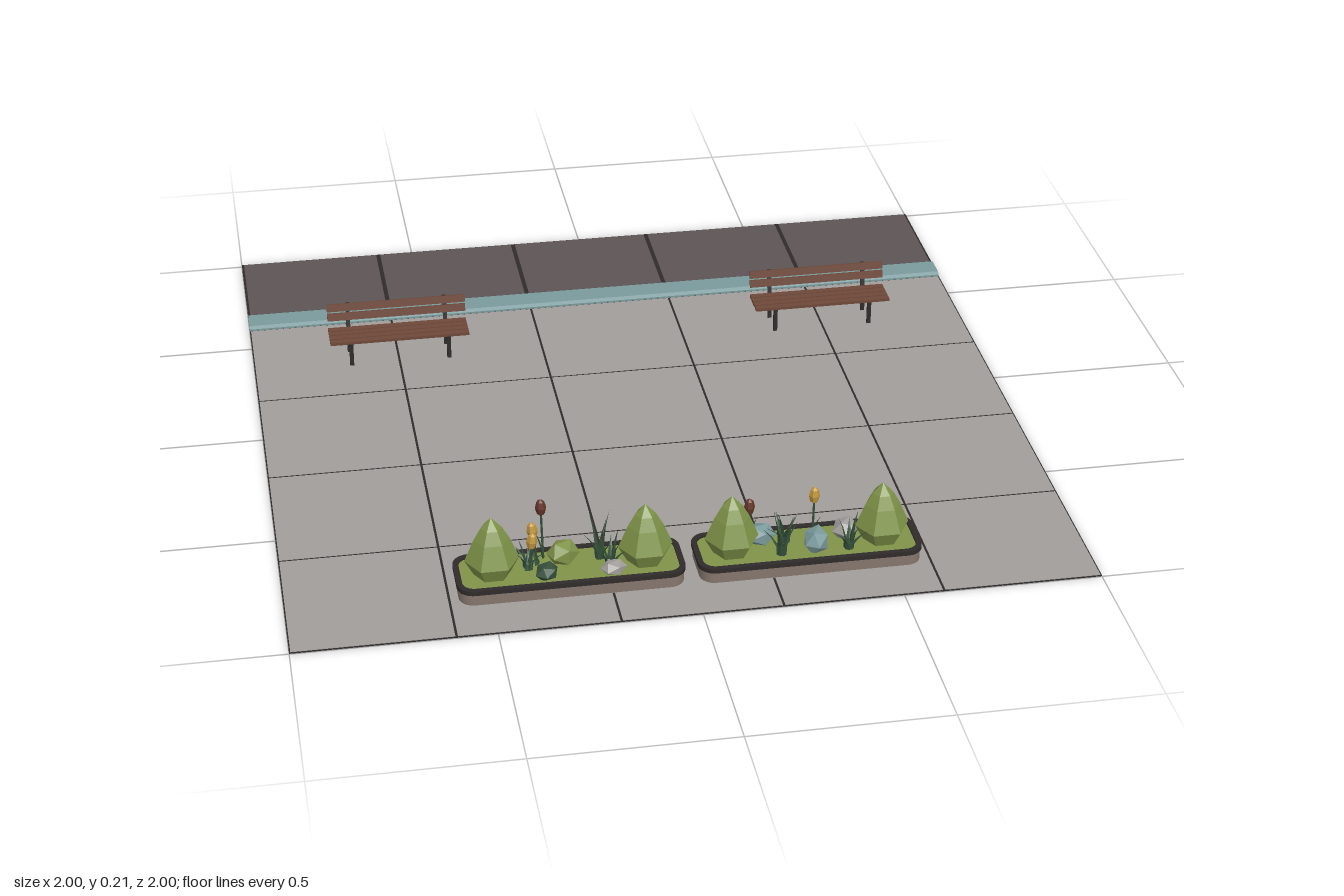
import * as THREE from 'three';

const mat = (name, color, flatShading = false) => {
  const m = new THREE.MeshStandardMaterial({ color, flatShading });
  m.name = name;
  return m;
};

export function createModel() {
  const M = {
    paving: mat('paving grey', 0xa09d9b, true),
    road: mat('road brown grey', 0x5d5555, true),
    kerb: mat('kerb teal', 0x7a999b, true),
    wood: mat('bench wood', 0x6e4839, true),
    dark: mat('dark trim', 0x2f2b2a, true),
    wall: mat('planter wall', 0x85766d, true),
    green: mat('shrub green', 0x7f9348, true),
    leaf: mat('dark leaf', 0x35503a, true),
    red: mat('flower red', 0x653528, true),
    yellow: mat('flower yellow', 0xc0963c, true),
  };
  const root = new THREE.Group();
  root.name = 'streetPlaza';

  const add = (parent, name, geo, material, x = 0, y = 0, z = 0) => {
    const mesh = new THREE.Mesh(geo, material);
    mesh.name = name;
    mesh.position.set(x, y, z);
    parent.add(mesh);
    return mesh;
  };
  const group = (parent, name, x = 0, y = 0, z = 0) => {
    const g = new THREE.Group();
    g.name = name;
    g.position.set(x, y, z);
    parent.add(g);
    return g;
  };
  const box = (w, h, d) => new THREE.BoxGeometry(w, h, d);

  // Ground: paving slabs, road slabs and the dark joints between them
  const ground = group(root, 'ground');
  const gap = 0.006;
  for (let i = 0; i < 5; i++) {
    const x = -0.8 + i * 0.4;
    for (let j = 0; j < 4; j++) {
      add(ground, 'pavingSlab', box(0.4 - gap, 0.004, 0.4 - gap), M.paving, x, 0.002, -0.4 + j * 0.4);
    }
    add(ground, 'roadSlab', box(0.388, 0.009, 0.31), M.road, x, 0.0045, -0.84);
  }
  add(ground, 'pavingJoints', box(2, 0.002, 1.6), M.dark, 0, 0.0017, 0.2);
  add(ground, 'roadJoints', box(2, 0.006, 0.32), M.dark, 0, 0.0036, -0.84);

  // Kerb: bevelled bar along the road
  const kerbShape = new THREE.Shape([
    [-0.04, 0], [0.04, 0], [0.04, 0.008], [0.03, 0.014], [-0.034, 0.014], [-0.04, 0.01],
  ].map(([x, y]) => new THREE.Vector2(x, y)));
  const kerbGeo = new THREE.ExtrudeGeometry(kerbShape, { depth: 2, bevelEnabled: false });
  kerbGeo.translate(0, 0, -1).rotateY(-Math.PI / 2);
  kerbGeo.computeVertexNormals();
  add(ground, 'kerb', kerbGeo, M.kerb, 0, 0, -0.64);

  // Benches
  for (const s of [-1, 1]) {
    const bench = group(root, 'bench', s * 0.597, 0, -0.4);
    for (let i = 0; i < 4; i++) {
      add(bench, 'seatSlat', box(0.384, 0.008, 0.019), M.wood, 0, 0.076, 0.039 - i * 0.0235);
    }
    for (const [y, z] of [[0.112, -0.043], [0.138, -0.048]]) {
      add(bench, 'backSlat', box(0.384, 0.021, 0.007), M.wood, 0, y, z).rotation.x = -0.2;
    }
    for (const x of [-0.135, 0.135]) {
      add(bench, 'frontLeg', box(0.011, 0.072, 0.007), M.dark, x, 0.036, 0.042);
      add(bench, 'backLeg', box(0.011, 0.072, 0.007), M.dark, x, 0.036, -0.036);
      add(bench, 'seatRail', box(0.011, 0.006, 0.088), M.dark, x, 0.069, 0.003);
      add(bench, 'backPost', box(0.011, 0.078, 0.006), M.dark, x, 0.109, -0.049).rotation.x = -0.2;
    }
  }

  // Rounded planter outline
  const roundedRect = (w, d, r, Type = THREE.Shape) => {
    const p = new Type();
    const a = w / 2, b = d / 2;
    p.moveTo(a, -b + r);
    p.absarc(a - r, b - r, r, 0, Math.PI / 2);
    p.absarc(-a + r, b - r, r, Math.PI / 2, Math.PI);
    p.absarc(-a + r, -b + r, r, Math.PI, Math.PI * 1.5);
    p.absarc(a - r, -b + r, r, Math.PI * 1.5, Math.PI * 2);
    return p;
  };
  const slab = (shape, h) =>
    new THREE.ExtrudeGeometry(shape, { depth: h, bevelEnabled: false, curveSegments: 4 }).rotateX(-Math.PI / 2);

  // Plants and stones
  const shrubGeo = new THREE.LatheGeometry(
    [[0, 0], [0.045, 0], [0.068, 0.042], [0.044, 0.1], [0.026, 0.132], [0, 0.16]]
      .map(([x, y]) => new THREE.Vector2(x, y)), 6, Math.PI / 2);

  const blade = (h, lean) => {
    const g = new THREE.ConeGeometry(0.011, h, 4, 3).translate(0, h / 2, 0).scale(1, 1, 0.35);
    const p = g.attributes.position;
    for (let i = 0; i < p.count; i++) {
      const t = p.getY(i) / h;
      p.setZ(i, p.getZ(i) + lean * t * t);
    }
    g.computeVertexNormals();
    return g;
  };
  const leafCluster = (parent, x, z, h) => {
    const g = group(parent, 'leafCluster', x, 0.04, z);
    for (let i = 0; i < 6; i++) {
      const a = i * 2.4 + x * 20;
      const k = 1 - 0.1 * i;
      add(g, 'leafBlade', blade(h * k, 0.018 + 0.005 * i), M.leaf, Math.sin(a) * 0.007, 0, Math.cos(a) * 0.007)
        .rotation.y = a;
    }
  };
  const flower = (parent, x, z, h, material, tilt = 0) => {
    const g = group(parent, 'flower', x, 0.04, z);
    g.rotation.z = tilt;
    add(g, 'flowerStem', new THREE.CylinderGeometry(0.003, 0.003, h, 5), M.leaf, 0, h / 2, 0);
    add(g, 'flowerHead', new THREE.SphereGeometry(0.014, 6, 4).scale(1, 1.7, 1), material, 0, h, 0);
    add(g, 'flowerLeaf', blade(h * 0.6, 0.025), M.leaf).rotation.y = x * 30;
  };
  const lump = (parent, name, x, z, r, material, sy = 0.8, turn = 0) => {
    const m = add(parent, name, new THREE.IcosahedronGeometry(r, 0).scale(1.1, sy, 0.9), material, x, 0.04 + r * sy * 0.6, z);
    m.rotation.y = turn;
  };

  const planters = [-1, 1].map((s) => {
    const g = group(root, s < 0 ? 'rightPlanter' : 'leftPlanter', s * 0.298, 0, 0.795);
    const w = 0.565, d = 0.17;
    add(g, 'planterWall', slab(roundedRect(w - 0.008, d - 0.008, 0.038), 0.033), M.wall, 0, 0.002, 0);
    const rim = roundedRect(w, d, 0.042);
    rim.holes.push(roundedRect(w - 0.028, d - 0.028, 0.03, THREE.Path));
    add(g, 'planterRim', slab(rim, 0.012), M.dark, 0, 0.034, 0);
    add(g, 'planterGrass', slab(roundedRect(w - 0.026, d - 0.026, 0.031), 0.007), M.green, 0, 0.034, 0);
    for (const x of [-0.19, 0.19]) add(g, 'shrub', shrubGeo, M.green, x, 0.04, 0);
    return g;
  });

  // Planting on the model's right
  const [a, b] = planters;
  flower(a, -0.057, -0.05, 0.145, M.red, 0.03);
  flower(a, -0.075, -0.02, 0.1, M.yellow, 0.12);
  flower(a, -0.1, 0.005, 0.085, M.yellow, -0.1);
  lump(a, 'smallShrub', -0.01, -0.03, 0.04, M.green, 0.9, 0.4);
  lump(a, 'darkShrub', -0.06, 0.035, 0.032, M.leaf, 0.7, 1);
  leafCluster(a, 0.08, -0.025, 0.135);
  leafCluster(a, 0.1, 0.015, 0.1);
  leafCluster(a, -0.1, -0.01, 0.08);
  lump(a, 'greyStone', 0.105, 0.04, 0.032, M.paving, 0.6, 0.5);

  // Planting on the model's left
  lump(b, 'tealStone', -0.11, -0.035, 0.038, M.kerb, 0.8, 0.3);
  lump(b, 'tealStone', 0.02, 0.02, 0.038, M.kerb, 1, 1.1);
  lump(b, 'greyStone', 0.105, -0.03, 0.036, M.paving, 0.8, 0.8);
  leafCluster(b, -0.07, 0.035, 0.135);
  leafCluster(b, -0.05, -0.02, 0.09);
  leafCluster(b, 0.1, 0.035, 0.1);
  flower(b, 0.02, -0.025, 0.125, M.yellow, -0.02);
  flower(b, -0.14, -0.03, 0.105, M.red);

  return root;
}
